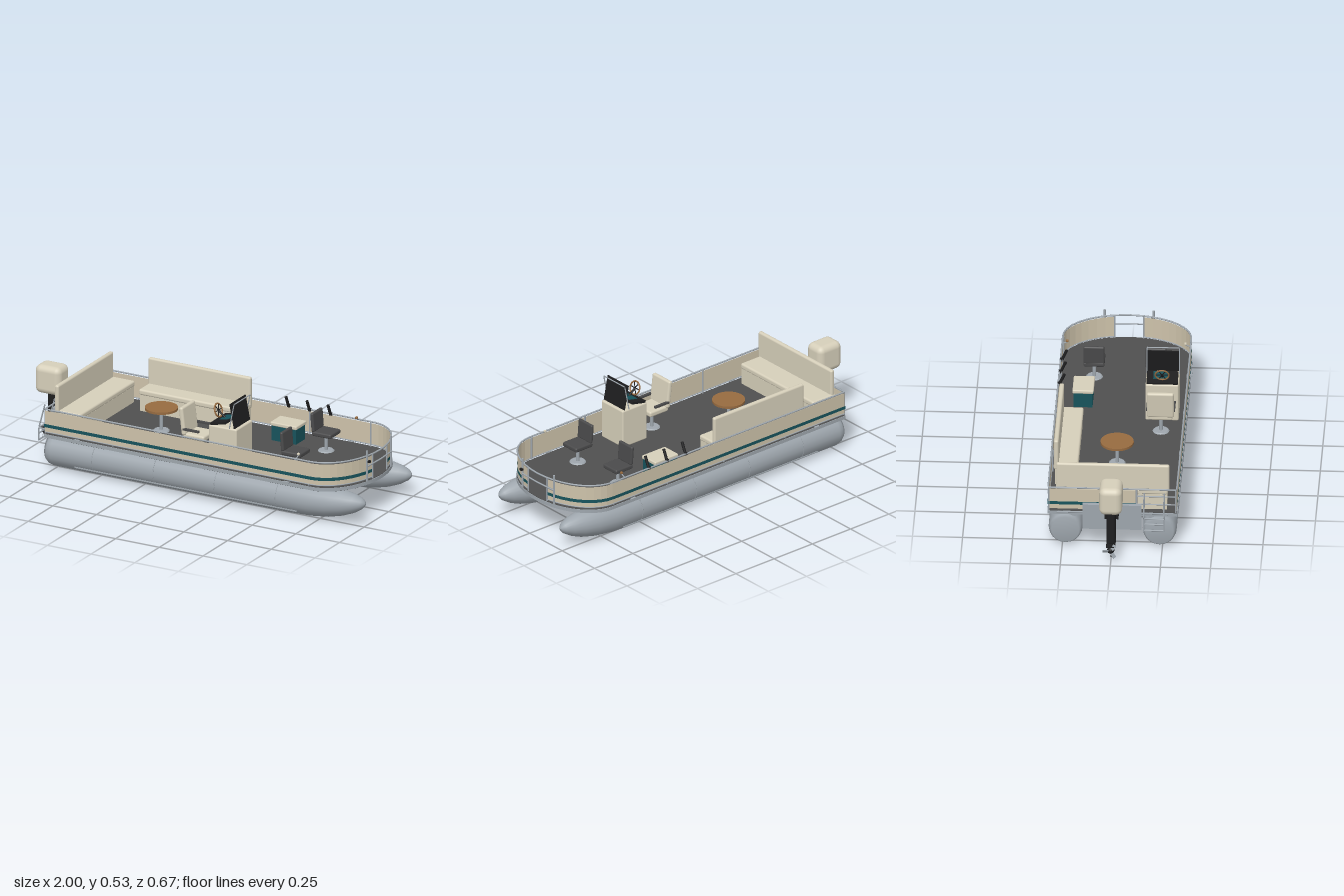
import * as THREE from 'three';
import { RoundedBoxGeometry } from 'three/addons/geometries/RoundedBoxGeometry.js';

const mat = (name, color, side = THREE.FrontSide) => {
  const m = new THREE.MeshStandardMaterial({ color, side });
  m.name = name;
  return m;
};

export function createModel() {
  const boat = new THREE.Group();
  boat.name = 'pontoonBoat';
  const alu = mat('aluminium', 0x9ea6ad);
  const cream = mat('creamVinyl', 0xd6cfba);
  const beige = mat('beigePanel', 0xcdc2aa, THREE.DoubleSide);
  const teal = mat('teal', 0x17535c, THREE.DoubleSide);
  const carpet = mat('deckCarpet', 0x505050);
  const grey = mat('greySeat', 0x4a4a4b);
  const black = mat('black', 0x1e1e1f);
  const wood = mat('wood', 0x976b40);

  const add = (name, geo, material, pos = [0, 0, 0], rot = [0, 0, 0], parent = boat) => {
    const m = new THREE.Mesh(geo, material);
    m.name = name;
    m.position.set(...pos);
    m.rotation.set(...rot);
    parent.add(m);
    return m;
  };
  const box = (name, m, pos, size, rot) => add(name, new THREE.BoxGeometry(...size), m, pos, rot);
  const soft = (name, m, pos, size, r = 0.01, rot) => add(name, new RoundedBoxGeometry(...size, 3, r), m, pos, rot);
  const cyl = (name, m, pos, r, h, rot, r2 = r) => add(name, new THREE.CylinderGeometry(r2, r, h, 16), m, pos, rot);
  // Straight-segment tube through points
  const tube = (name, m, pts, r = 0.005) => {
    const path = new THREE.CurvePath();
    const v = pts.map(p => new THREE.Vector3(...p));
    for (let i = 1; i < v.length; i++) path.add(new THREE.LineCurve3(v[i - 1], v[i]));
    return add(name, new THREE.TubeGeometry(path, Math.max(1, (v.length - 1) * 8), r, 8), m);
  };

  // Pontoons: lathed hull whose nose sweeps upward
  const hull = [[-0.8, 0, 0.088], [-0.8, 0.07, 0.088], [-0.785, 0.08, 0.086], [-0.76, 0.085, 0.085], [0.6, 0.085, 0.085],
    [0.7, 0.0835, 0.0865], [0.8, 0.077, 0.092], [0.88, 0.065, 0.1], [0.94, 0.048, 0.107], [0.98, 0.028, 0.112], [0.995, 0.013, 0.114], [1, 0, 0.115]];
  for (const s of [-1, 1]) {
    const geo = new THREE.LatheGeometry(hull.map(([x, r]) => new THREE.Vector2(r, x)), 20);
    geo.rotateZ(-Math.PI / 2);
    const p = geo.attributes.position;
    for (let i = 0; i < p.count; i++) {
      const x = p.getX(i);
      const k = Math.max(1, hull.findIndex(h => h[0] >= x - 1e-5));
      const a = hull[k - 1], b = hull[k];
      const t = b[0] === a[0] ? 0 : (x - a[0]) / (b[0] - a[0]);
      p.setY(i, p.getY(i) + a[2] + (b[2] - a[2]) * t);
    }
    add('pontoon', geo, alu, [0, 0, s * 0.235]);
    for (const x of [-0.52, -0.17, 0.18, 0.53])
      add('pontoonSeam', new THREE.TorusGeometry(0.085, 0.002, 6, 24), alu, [x, 0.085, s * 0.235], [0, Math.PI / 2, 0]);
    for (const e of [-1, 1]) box('strake', alu, [0.01, 0.035, s * 0.235 + e * 0.069], [1.27, 0.006, 0.01]);
    box('riser', alu, [-0.03, 0.162, s * 0.2], [1.5, 0.016, 0.04]);
  }
  for (let i = 0; i < 7; i++) box('crossBeam', alu, [-0.7 + i * 0.225, 0.154, 0], [0.03, 0.026, 0.33]);

  // Deck outline with an elliptical bow
  const deckSlab = (name, m, y, h, inset) => {
    const b = 0.325 - inset, sh = new THREE.Shape();
    sh.moveTo(-0.79 + inset, -b);
    sh.lineTo(0.73, -b);
    sh.absellipse(0.73, 0, 0.23 - inset, b, -Math.PI / 2, Math.PI / 2, false, 0);
    sh.lineTo(-0.79 + inset, b);
    const geo = new THREE.ExtrudeGeometry(sh, { depth: h, bevelEnabled: false, curveSegments: 28 });
    geo.rotateX(-Math.PI / 2);
    add(name, geo, m, [0, y, 0]);
  };
  deckSlab('deckUnderside', black, 0.168, 0.003, 0.004);
  deckSlab('deckFrame', alu, 0.17, 0.018, 0);
  deckSlab('deckFloor', carpet, 0.188, 0.003, 0.003);
  for (const x of [-0.6, 0.6]) for (const s of [-1, 1]) box('cleat', alu, [x, 0.188, s * 0.327], [0.03, 0.008, 0.012]);

  // Fence path: [x, z] along one side, ending at half-width zEnd at the bow
  const sidePath = (s, zEnd, off = 0) => {
    const b = 0.321 + off, pts = [[-0.786 - off, s * b], [0.2, s * b]];
    const end = Math.acos(zEnd / b);
    for (let i = 0; i <= 9; i++) {
      const t = end * i / 9;
      pts.push([0.73 + (0.222 + off) * Math.sin(t), s * b * Math.cos(t)]);
    }
    return pts;
  };
  const ribbon = (name, m, path, y0, y1) => {
    const pos = [];
    for (let i = 1; i < path.length; i++) {
      const [ax, az] = path[i - 1], [bx, bz] = path[i];
      pos.push(ax, y0, az, bx, y0, bz, bx, y1, bz, ax, y0, az, bx, y1, bz, ax, y1, az);
    }
    const g = new THREE.BufferGeometry();
    g.setAttribute('position', new THREE.Float32BufferAttribute(pos, 3));
    g.computeVertexNormals();
    add(name, g, m);
  };
  for (const s of [-1, 1]) {
    const path = sidePath(s, 0.072), out = sidePath(s, 0.072, 0.003);
    ribbon('fencePanel', beige, path, 0.2, 0.312);
    ribbon('fenceStripe', teal, out, 0.225, 0.242);
    tube('topRail', alu, sidePath(s, 0).map(([x, z]) => [x, 0.32, z]), 0.0045);
    tube('bottomRail', alu, path.map(([x, z]) => [x, 0.199, z]), 0.003);
    for (const x of [-0.786, -0.4, 0, 0.37, 0.72]) cyl('fencePost', alu, [x, 0.255, s * 0.317], 0.004, 0.13);
    cyl('bowPost', alu, [0.944, 0.271, s * 0.122], 0.0055, 0.162);
    cyl('gatePost', alu, [0.948, 0.255, s * 0.072], 0.004, 0.13);
    soft('railLight', s > 0 ? cream : wood, [0.65, 0.337, s * 0.295], [0.012, 0.012, 0.012], 0.003);
    tube('railLightArm', alu, [[0.65, 0.332, s * 0.295], [0.65, 0.32, s * 0.318]], 0.003);
  }
  tube('gateRail', alu, [[0.948, 0.27, -0.122], [0.953, 0.27, 0], [0.948, 0.27, 0.122]], 0.004);
  box('gateLatch', black, [0.955, 0.295, 0.118], [0.012, 0.01, 0.016]);

  // Stern fence with a gate beside the ladder
  ribbon('sternPanel', beige, [[-0.786, -0.321], [-0.786, 0.12]], 0.2, 0.312);
  ribbon('sternStripe', teal, [[-0.789, -0.324], [-0.789, 0.12]], 0.225, 0.242);
  tube('sternRail', alu, [[-0.786, 0.32, -0.321], [-0.786, 0.32, 0.321]], 0.0045);
  for (const y of [0.235, 0.28]) tube('sternGateRail', alu, [[-0.786, y, 0.12], [-0.786, y, 0.321]], 0.0035);
  cyl('sternPost', alu, [-0.786, 0.255, 0.12], 0.004, 0.13);

  // Boarding ladder
  for (const z of [0.16, 0.26]) tube('ladderRail', alu, [[-0.79, 0.185, z], [-0.855, 0.19, z], [-0.82, 0.32, z]], 0.004);
  for (const z of [0.16, 0.26]) tube('ladderLeg', alu, [[-0.855, 0.19, z], [-0.855, 0.12, z]], 0.004);
  for (const y of [0.125, 0.16, 0.19]) tube('ladderRung', alu, [[-0.855, y, 0.16], [-0.855, y, 0.26]], 0.004);

  // Motor mount and outboard
  box('transom', alu, [-0.835, 0.19, 0], [0.022, 0.138, 0.294]);
  box('motorPod', alu, [-0.8, 0.15, 0], [0.08, 0.03, 0.22]);
  for (const s of [-1, 1]) tube('transomBrace', alu, [[-0.785, 0.18, s * 0.28], [-0.835, 0.21, s * 0.145]], 0.005);
  soft('motorCowl', cream, [-0.926, 0.355, 0], [0.148, 0.15, 0.114], 0.032);
  soft('motorLeg', black, [-0.912, 0.19, 0], [0.062, 0.21, 0.044], 0.012);
  box('motorClamp', black, [-0.865, 0.235, 0], [0.05, 0.06, 0.07]);
  box('cavitationPlate', black, [-0.925, 0.09, 0], [0.1, 0.006, 0.046]);
  soft('lowerLeg', black, [-0.915, 0.08, 0], [0.045, 0.05, 0.022], 0.008);
  add('gearcase', new THREE.CapsuleGeometry(0.018, 0.08, 5, 14), black, [-0.92, 0.066, 0], [0, 0, Math.PI / 2]);
  box('skeg', black, [-0.915, 0.033, 0], [0.03, 0.048, 0.004]);
  for (let i = 0; i < 3; i++) {
    const a = i * Math.PI * 2 / 3;
    const blade = box('propBlade', alu, [-0.972, 0.066 + 0.026 * Math.sin(a), -0.026 * Math.cos(a)], [0.003, 0.018, 0.03]);
    blade.rotation.set(a, 0, 0.5, 'XYZ');
  }

  // Benches
  box('sternBenchBase', cream, [-0.685, 0.234, -0.005], [0.14, 0.086, 0.55]);
  soft('sternBenchSeat', cream, [-0.685, 0.291, -0.005], [0.15, 0.03, 0.56]);
  soft('sternBenchBack', cream, [-0.743, 0.365, 0], [0.024, 0.15, 0.565]);
  box('sideBenchBase', cream, [-0.243, 0.234, -0.245], [0.575, 0.086, 0.11]);
  soft('sideBenchSeat', cream, [-0.243, 0.291, -0.245], [0.585, 0.03, 0.122]);
  soft('sideBenchBack', cream, [-0.243, 0.365, -0.293], [0.585, 0.155, 0.024]);

  // Table
  cyl('tableTop', wood, [-0.3, 0.31, 0], 0.083, 0.012).geometry = new THREE.CylinderGeometry(0.083, 0.083, 0.012, 32);
  const pedestal = (x, z, top) => {
    cyl('pedestal', alu, [x, (top + 0.19) / 2, z], 0.009, top - 0.19);
    cyl('pedestalBase', alu, [x, 0.194, z], 0.042, 0.006, [0, 0, 0], 0.036);
  };
  pedestal(-0.3, 0, 0.305);

  // Helm chair
  pedestal(0.03, 0.203, 0.285);
  soft('helmSeat', cream, [0.03, 0.298, 0.203], [0.12, 0.03, 0.12]);
  soft('helmBack', cream, [-0.032, 0.375, 0.203], [0.024, 0.145, 0.135], 0.01, [0, 0, 0.12]);
  for (const s of [-1, 1]) box('armrest', grey, [0.02, 0.337, 0.203 + s * 0.065], [0.09, 0.01, 0.014]);

  // Helm console, windscreen and wheel
  soft('console', cream, [0.21, 0.293, 0.203], [0.16, 0.204, 0.166], 0.008);
  box('dash', black, [0.18, 0.408, 0.203], [0.09, 0.012, 0.156], [0, 0, 0.22]);
  box('dashScreen', teal, [0.19, 0.417, 0.195], [0.055, 0.004, 0.075], [0, 0, 0.22]);
  box('windscreen', black, [0.262, 0.46, 0.203], [0.005, 0.13, 0.158], [0, 0, 0.2]);
  for (const s of [-1, 1]) tube('windscreenFrame', alu, [[0.248, 0.395, 0.203 + s * 0.081], [0.275, 0.527, 0.203 + s * 0.081]], 0.003);
  tube('windscreenFrameTop', alu, [[0.275, 0.527, 0.122], [0.275, 0.527, 0.284]], 0.003);
  tube('steeringColumn', black, [[0.142, 0.445, 0.203], [0.185, 0.41, 0.203]], 0.005);
  const wheel = new THREE.Group();
  wheel.name = 'steeringWheel';
  wheel.position.set(0.14, 0.447, 0.203);
  wheel.rotation.set(0, Math.PI / 2, 0.35, 'ZYX');
  boat.add(wheel);
  add('wheelRim', new THREE.TorusGeometry(0.034, 0.004, 8, 28), wood, [0, 0, 0], [0, 0, 0], wheel);
  for (let i = 0; i < 3; i++) add('wheelSpoke', new THREE.BoxGeometry(0.068, 0.004, 0.003), black, [0, 0, 0], [0, 0, i * Math.PI / 3], wheel);

  // Fishing chairs
  for (const s of [-1, 1]) {
    pedestal(0.555, s * 0.155, 0.275);
    soft('fishingSeat', grey, [0.555, 0.287, s * 0.155], [0.11, 0.024, 0.105], 0.008);
    soft('fishingSeatBack', grey, [0.503, 0.345, s * 0.155], [0.018, 0.1, 0.105], 0.008, [0, 0, 0.08]);
  }

  // Cooler
  box('coolerBody', teal, [0.315, 0.231, -0.197], [0.14, 0.08, 0.095]);
  soft('coolerLid', cream, [0.315, 0.279, -0.197], [0.152, 0.02, 0.106], 0.006);

  // Rod holders
  for (const x of [0.25, 0.37, 0.49]) {
    cyl('rodHolder', black, [x, 0.35, -0.301], 0.0075, 0.055, [0.42, 0, 0]);
    box('rodHolderClamp', black, [x, 0.32, -0.318], [0.014, 0.014, 0.012]);
  }
  return boat;
}
